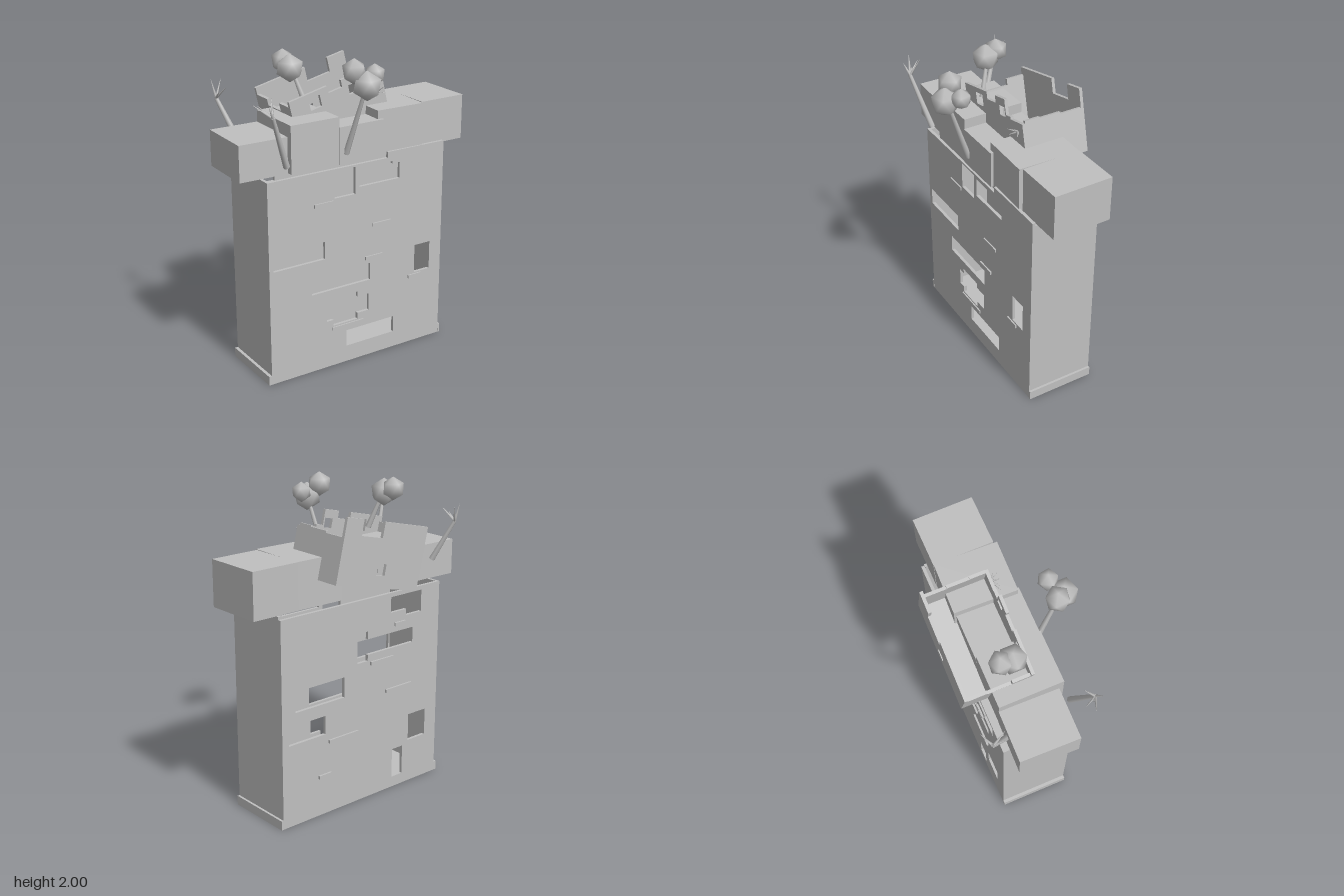
import * as THREE from 'three';
import { mergeVertices } from 'three/addons/utils/BufferGeometryUtils.js';

const stone = new THREE.MeshStandardMaterial({ color: 0xc0c0c0 });
stone.name = 'grey stone';

const rect = (x0, x1, y0, y1) => [[x0, y0], [x1, y0], [x1, y1], [x0, y1]];

function add(parent, name, geometry) {
  const mesh = new THREE.Mesh(geometry, stone);
  mesh.name = name;
  parent.add(mesh);
  return mesh;
}

// box given by its limits
function block(parent, name, x0, x1, y0, y1, z0, z1) {
  const mesh = add(parent, name, new THREE.BoxGeometry(x1 - x0, y1 - y0, z1 - z0));
  mesh.position.set((x0 + x1) / 2, (y0 + y1) / 2, (z0 + z1) / 2);
  return mesh;
}

// upright panel in the xy plane with cut-out openings
function panel(parent, name, outline, holes, z, depth) {
  const toPoints = (list) => list.map(([x, y]) => new THREE.Vector2(x, y));
  const shape = new THREE.Shape(toPoints(outline));
  for (const hole of holes) shape.holes.push(new THREE.Path(toPoints(hole)));
  const mesh = add(parent, name, new THREE.ExtrudeGeometry(shape, { depth, bevelEnabled: false }));
  mesh.position.z = z;
  return mesh;
}

// tapered limb between two points
function limb(parent, name, from, to, r0, r1, sides = 6) {
  const a = new THREE.Vector3(...from), b = new THREE.Vector3(...to);
  const dir = b.clone().sub(a);
  const mesh = add(parent, name, new THREE.CylinderGeometry(r1, r0, dir.length(), sides));
  mesh.position.copy(a).add(b).multiplyScalar(0.5);
  mesh.quaternion.setFromUnitVectors(new THREE.Vector3(0, 1, 0), dir.normalize());
  return mesh;
}

// smooth-shaded icosahedron standing on a corner
function foliageGeometry() {
  const geo = new THREE.IcosahedronGeometry(1, 0);
  geo.deleteAttribute('uv');
  geo.deleteAttribute('normal');
  const merged = mergeVertices(geo, 1e-4);
  merged.rotateZ(Math.atan(2 / (1 + Math.sqrt(5))));
  merged.computeVertexNormals();
  return merged;
}

function leafyTree(parent, name, from, to, balls) {
  const tree = new THREE.Group();
  tree.name = name;
  parent.add(tree);
  limb(tree, 'trunk', from, to, 0.019, 0.011);
  const geo = foliageGeometry();
  balls.forEach(([x, y, z, r], i) => {
    const ball = add(tree, 'foliage', geo);
    ball.position.set(x, y, z);
    ball.rotation.y = i * 0.7;
    ball.scale.setScalar(r);
  });
}

function deadTree(parent, name, from, to, tips, r0, r1) {
  const tree = new THREE.Group();
  tree.name = name;
  parent.add(tree);
  limb(tree, 'trunk', from, to, r0, r1);
  for (const tip of tips) limb(tree, 'branch', to, tip, r1 * 0.8, 0.001, 5);
}

// hollow slab tower with windows front and back
function buildTower(root) {
  const tower = new THREE.Group();
  tower.name = 'tower';
  root.add(tower);
  panel(tower, 'frontWall',
    [[-0.65, 0], [0.63, 0], [0.63, 1.355], [0.2, 1.355], [0.2, 1.317], [-0.65, 1.317]],
    [
      rect(-0.62, -0.26, 0.75, 0.865), rect(-0.19, -0.04, 1.13, 1.305),
      [[-0.01, 1.17], [0.29, 1.17], [0.29, 1.275], [0.235, 1.275], [0.235, 1.29], [-0.01, 1.29]],
      rect(-0.355, 0.075, 0.53, 0.645),
      rect(-0.105, 0.26, 0.11, 0.22), rect(0.42, 0.54, 0.495, 0.685),
      [[-0.25, 0.32], [-0.2, 0.32], [-0.2, 0.28], [-0.02, 0.28], [-0.02, 0.32], [0.065, 0.32],
        [0.065, 0.435], [-0.02, 0.435], [-0.02, 0.47], [-0.2, 0.47], [-0.2, 0.435], [-0.25, 0.435]],
    ], 0.142, 0.02);
  panel(tower, 'backWall', rect(-0.65, 0.63, 0, 1.317),
    [
      rect(0.15, 0.53, 0.73, 0.86), rect(0.3, 0.58, 0.53, 0.65),
      rect(-0.55, -0.4, 0.29, 0.47), rect(-0.35, -0.26, 0.07, 0.265),
      [[-0.42, 0.96], [-0.04, 0.96], [-0.04, 0.92], [0.045, 0.92], [0.045, 1.11],
        [-0.04, 1.11], [-0.04, 1.06], [-0.42, 1.06]],
      [[-0.49, 1.15], [-0.36, 1.15], [-0.36, 1.19], [-0.23, 1.19], [-0.23, 1.29], [-0.49, 1.29]],
    ], -0.285, 0.02);
  block(tower, 'rightWall', -0.65, -0.63, 0, 1.317, -0.265, 0.142);
  block(tower, 'leftWall', 0.61, 0.63, 0, 1.335, -0.265, 0.142);
  block(tower, 'floor', -0.63, 0.61, 0, 0.02, -0.265, 0.142);
  for (const [x0, x1] of [[-0.67, -0.65], [0.63, 0.645]])
    block(tower, 'plinthEnd', x0, x1, 0, 0.06, -0.286, 0.163);

  // narrow sills: x range and height
  const sills = [[-0.335, -0.2, 1.11], [0.085, 0.225, 0.9], [0.035, 0.165, 0.685],
    [0.37, 0.47, 0.475], [-0.21, 0.02, 0.26]];
  const backSills = [[-0.35, -0.26, 1.11], [-0.25, -0.06, 0.9], [-0.41, -0.19, 0.685],
    [0.04, 0.275, 0.475], [0.26, 0.355, 0.26]];
  for (const [x0, x1, y] of sills)
    block(tower, 'frontSill', x0, x1, y - 0.011, y + 0.011, 0.155, 0.171);
  for (const [x0, x1, y] of backSills)
    block(tower, 'backSill', x0, x1, y - 0.011, y + 0.011, -0.297, -0.28);
}

// tilted open house in local coordinates, turned as a whole
function buildHouse(root) {
  const house = new THREE.Group();
  house.name = 'tiltedHouse';
  house.position.set(-0.04, 1.608, 0);
  house.rotation.z = 0.23;
  root.add(house);
  const w = 0.33, h = 0.196;
  panel(house, 'houseFrontWall',
    [[-w, -h], [w, -h], [w, 0.085], [0.2, 0.085], [0.2, 0.1], [0.15, 0.1], [0.15, h], [0.04, h],
      [0.04, 0.15], [-0.06, 0.15], [-0.06, h], [-w, h]],
    [rect(-0.2, -0.12, 0.09, 0.165), rect(0.08, 0.14, 0.085, 0.145)], -0.01, 0.02);
  panel(house, 'houseBackWall',
    [[-w, -h], [w, -h], [w, h], [0.2, h], [0.2, 0.1], [0.03, 0.1], [0.03, h], [-w, h]],
    [rect(-0.04, 0.03, -0.12, -0.05)], -0.41, 0.02);

  // end walls with uneven broken tops, drawn in z and turned sideways
  const ends = [
    ['houseLeftWall', w - 0.02, [[0.39, -h], [0.39, 0.08], [0.25, 0.08], [0.25, 0.092], [0.11, 0.092], [0.11, 0.1], [0.01, 0.1], [0.01, -h]]],
    ['houseRightWall', -w, [[0.39, -h], [0.39, 0.15], [0.27, 0.15], [0.27, 0.11], [0.12, 0.11], [0.12, 0.16], [0.01, 0.16], [0.01, -h]]],
  ];
  for (const [name, x, outline] of ends) {
    const wall = panel(house, name, outline, [], 0, 0.02);
    wall.rotation.y = Math.PI / 2;
    wall.position.x = x;
  }
  block(house, 'houseFloor', -w + 0.02, w - 0.02, -h, -h + 0.02, -0.39, -0.01);
}

export function createModel() {
  const root = new THREE.Group();
  root.name = 'ruinedTower';
  buildTower(root);

  // row of large blocks on top
  const blocks = [
    [-0.8, -0.485, 1.56, -0.245, 0.125, -0.02], [-0.483, -0.152, 1.633, -0.24, 0.158, 0],
    [-0.15, 0.168, 1.57, -0.24, 0.163, 0], [0.138, 0.47, 1.623, -0.25, 0.148, -0.025],
    [0.472, 0.793, 1.623, -0.25, 0.13, 0.01],
  ];
  for (const [x0, x1, top, z0, z1, turn] of blocks)
    block(root, 'topBlock', x0, x1, 1.336, top, z0, z1).rotation.y = turn;

  buildHouse(root);

  leafyTree(root, 'frontTree', [-0.105, 1.4, 0.16], [-0.07, 1.8, 0.3],
    [[-0.07, 1.845, 0.325, 0.09], [-0.12, 1.925, 0.265, 0.077], [0.02, 1.89, 0.27, 0.064]]);
  leafyTree(root, 'houseTree', [-0.265, 1.68, -0.03], [-0.315, 1.87, -0.09],
    [[-0.335, 1.9, -0.095, 0.087], [-0.34, 1.93, -0.17, 0.073]]);
  deadTree(root, 'frontDeadTree', [-0.53, 1.4, 0.185], [-0.655, 1.73, 0.26],
    [[-0.755, 1.81, 0.215], [-0.705, 1.79, 0.18], [-0.63, 1.83, 0.2], [-0.69, 1.8, 0.285], [-0.69, 1.76, 0.23]],
    0.02, 0.012);
  deadTree(root, 'backDeadTree', [-0.61, 1.46, -0.25], [-0.69, 1.71, -0.36],
    [[-0.63, 1.81, -0.41], [-0.66, 1.79, -0.28], [-0.71, 1.82, -0.38], [-0.7, 1.76, -0.3]],
    0.02, 0.012);
  deadTree(root, 'wallTwigs', [0.215, 1.69, -0.005], [0.215, 1.695, 0.008],
    [[0.15, 1.69, 0.04], [0.18, 1.67, 0.05], [0.235, 1.735, 0.055], [0.26, 1.69, 0.04], [0.2, 1.72, 0.06]],
    0.01, 0.009);
  return root;
}
